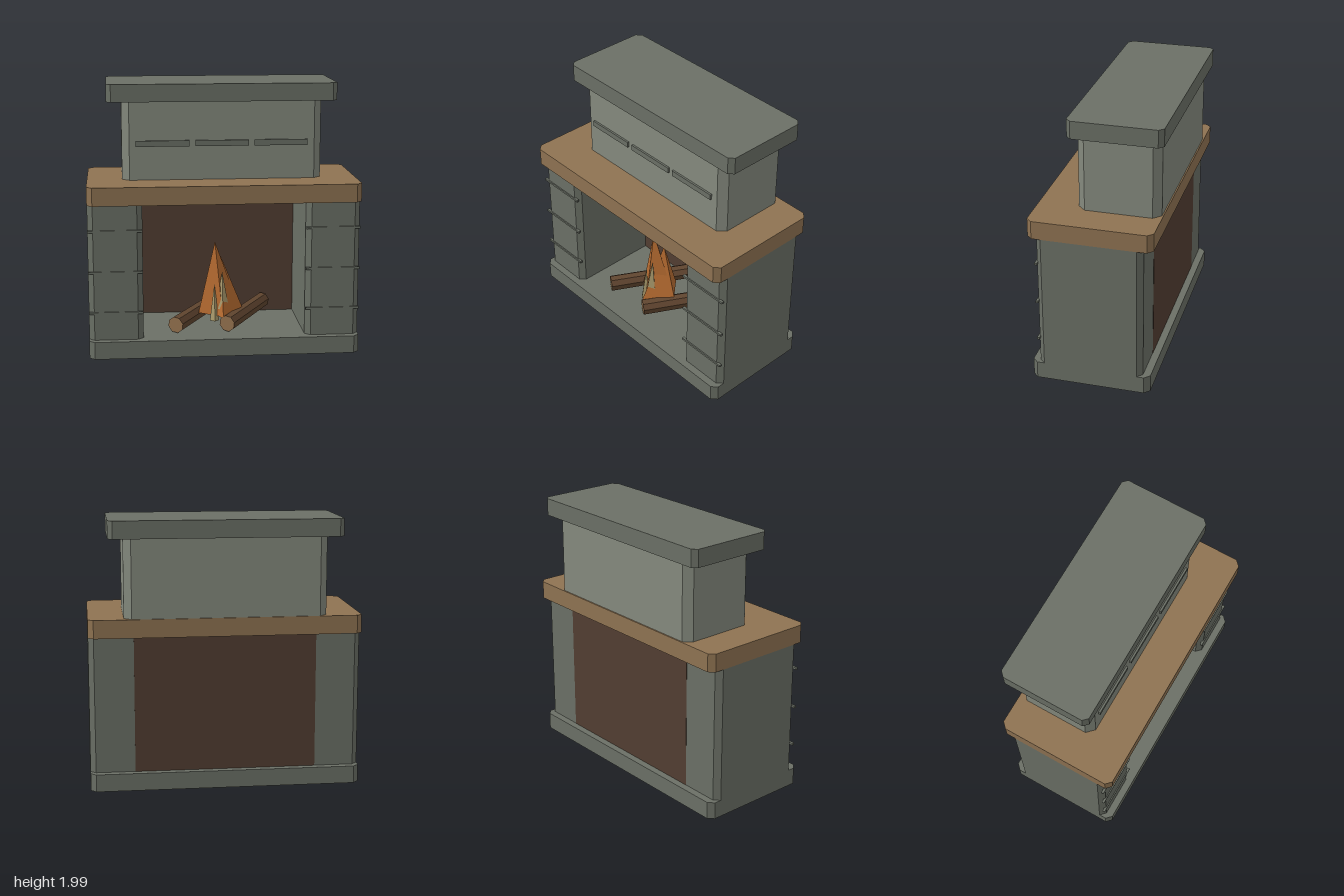
import * as THREE from 'three';
import { ConvexGeometry } from 'three/addons/geometries/ConvexGeometry.js';

const paint = (color) => new THREE.MeshStandardMaterial({ color, flatShading: true });
const stone = paint(0x6b7066);
const paleStone = paint(0x858a7e);
const wood = paint(0x8f7352);
const soot = paint(0x523e32);
const bark = paint(0x60452f);
const cutWood = paint(0x94724f);
const orange = paint(0xb46a30);
const yellow = paint(0xaa9a6c);

export function createModel() {
  const model = new THREE.Group();

  function add(name, geometry, material, parent = model) {
    const mesh = new THREE.Mesh(geometry, material);
    mesh.name = name;
    parent.add(mesh);
    return mesh;
  }

  // Block given by its limits, with the four upright edges cut off by c
  function slab([x0, x1], [y0, y1], [z0, z1], c) {
    const shape = new THREE.Shape([
      [x0 + c, -z1], [x1 - c, -z1], [x1, -z1 + c], [x1, -z0 - c],
      [x1 - c, -z0], [x0 + c, -z0], [x0, -z0 - c], [x0, -z1 + c],
    ].map(([x, y]) => new THREE.Vector2(x, y)));
    return new THREE.ExtrudeGeometry(shape, { depth: y1 - y0, bevelEnabled: false })
      .rotateX(-Math.PI / 2).translate(0, y0, 0);
  }

  function box([x0, x1], [y0, y1], [z0, z1]) {
    return new THREE.BoxGeometry(x1 - x0, y1 - y0, z1 - z0)
      .translate((x0 + x1) / 2, (y0 + y1) / 2, (z0 + z1) / 2);
  }

  // Main stacked blocks
  add('hearthBase', slab([-1, 1], [0, 0.13], [-0.42, 0.46], 0.04), stone);
  add('mantel', slab([-1, 1], [1.145, 1.28], [-0.435, 0.47], 0.04), wood);
  add('chimney', slab([-0.74, 0.74], [1.28, 1.86], [-0.425, 0.175], 0.055), paleStone);
  add('chimneyCap', slab([-0.85, 0.85], [1.86, 1.99], [-0.465, 0.215], 0.035), stone);
  add('fireback', box([-0.67, 0.67], [0.01, 1.145], [-0.367, -0.28]), soot);

  // Pillars with their joint strips
  for (const [side, x0] of [['left', 0.6], ['right', -1]]) {
    const span = [x0, x0 + 0.4];
    add(side + 'Pillar', slab(span, [0.13, 1.145], [-0.365, 0.405], 0.04), stone);
    for (const y of [0.335, 0.64, 0.947]) {
      add(side + 'JointStrip', box(span, [y - 0.008, y + 0.008], [0.395, 0.414]), stone);
    }
  }

  // Vents across the chimney front
  for (const x of [-0.44, 0, 0.436]) {
    add('vent', box([x - 0.197, x + 0.197], [1.53, 1.573], [0.17, 0.19]), stone);
  }

  // Two parallel logs running back into the firebox
  const logs = new THREE.Group();
  logs.name = 'logs';
  model.add(logs);
  const along = new THREE.Vector3(0.33, 0.025, -0.55);
  for (const x of [-0.36, 0.025]) {
    const log = add('log', new THREE.CylinderGeometry(0.06, 0.063, along.length(), 8),
      [bark, cutWood, cutWood], logs);
    log.quaternion.setFromUnitVectors(new THREE.Vector3(0, 1, 0), along.clone().normalize());
    log.position.set(x, 0.2, 0.3).addScaledVector(along, 0.5);
  }

  // Flames: leaning four-sided spikes
  const fire = new THREE.Group();
  fire.name = 'fire';
  model.add(fire);
  const spike = (name, material, ...points) => add(name,
    new ConvexGeometry(points.map((p) => new THREE.Vector3(...p))), material, fire);
  spike('tallFlame', orange, [-0.05, 0.79, 0.11],
    [-0.175, 0.235, 0.11], [0, 0.235, 0.24], [0.14, 0.26, 0.08], [-0.03, 0.25, -0.03]);
  spike('shortFlame', orange, [0, 0.66, 0.05],
    [-0.1, 0.25, 0.1], [0, 0.235, 0.29], [0.16, 0.27, 0.09], [0.03, 0.27, -0.05]);
  for (const [x, y, z, r] of [[0, 0.57, 0.17, 0.05], [-0.06, 0.48, 0.18, 0.035]]) {
    const b = y - 0.28;
    spike('flameCore', yellow, [x, y, z],
      [x - r, b, z + 0.02], [x, b, z + 0.02 + r], [x + r, b, z + 0.02], [x, b, z + 0.02 - r]);
  }

  return model;
}
